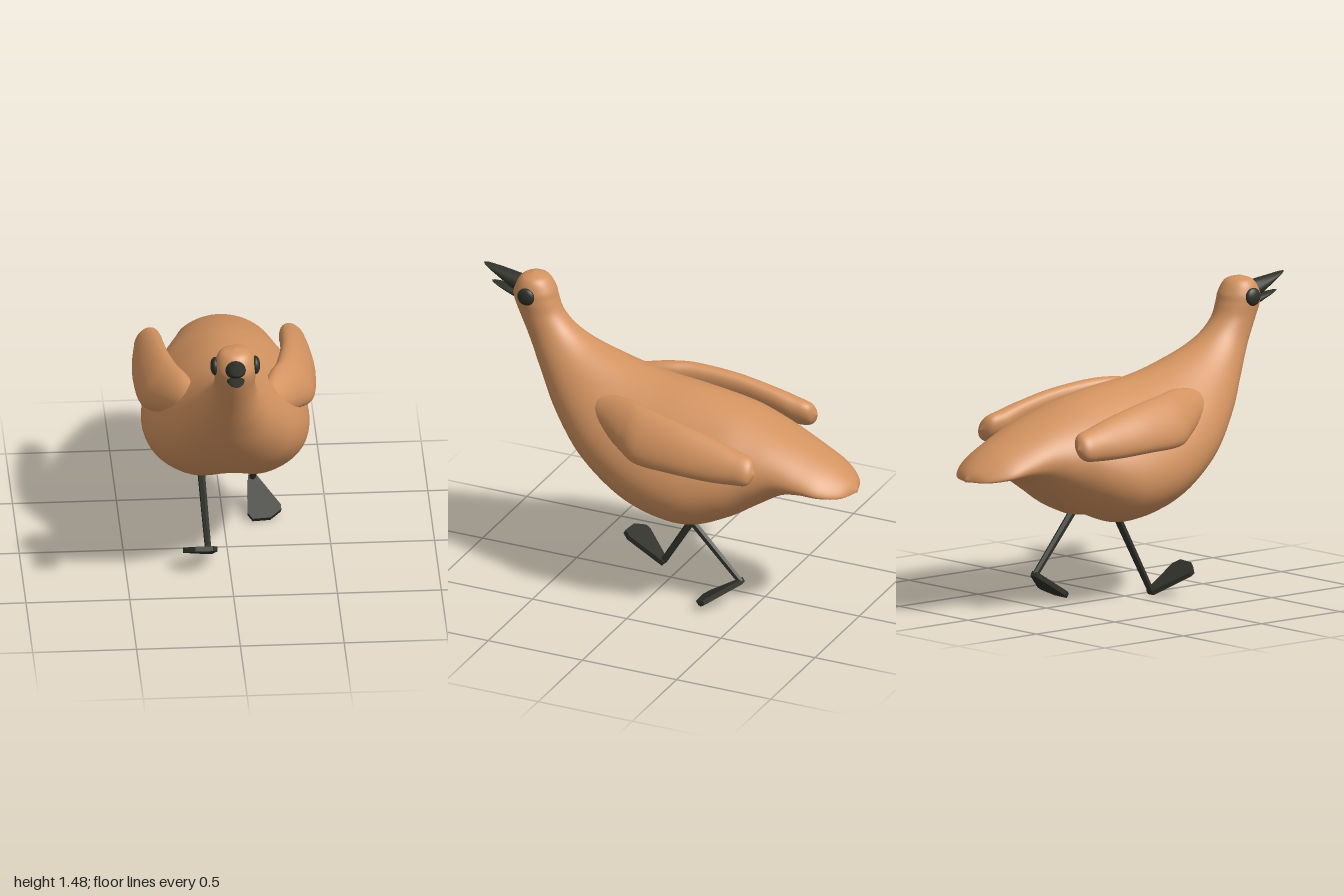
import * as THREE from 'three';

const skin = new THREE.MeshStandardMaterial({ color: 0xd39360, side: THREE.DoubleSide });
const dark = new THREE.MeshStandardMaterial({ color: 0x303129, side: THREE.DoubleSide });
const darkFlat = new THREE.MeshStandardMaterial({ color: 0x303129, flatShading: true });
const V = (x, y, z) => new THREE.Vector3(x, y, z);
const curve = (pts) => new THREE.CatmullRomCurve3(pts.map((p) => V(...p)), false, 'catmullrom', 0.5);
const ramp = THREE.MathUtils.smoothstep;

// Closed smooth skin through rings; point(t, angle) gives the surface
function loft(rows, cols, point) {
  const pos = [], idx = [];
  for (let i = 0; i <= rows; i++) {
    for (let j = 0; j < cols; j++) {
      pos.push(...point(i / rows, (j / cols) * Math.PI * 2));
      if (i === rows) continue;
      const a = i * cols + j, b = i * cols + ((j + 1) % cols);
      idx.push(a, b, a + cols, b, b + cols, a + cols);
    }
  }
  const g = new THREE.BufferGeometry();
  g.setAttribute('position', new THREE.Float32BufferAttribute(pos, 3));
  g.setIndex(idx);
  g.computeVertexNormals();
  return g;
}

// Back line: half width, y, z, from the crown down the neck to the tail
const backLine = curve([
  [0, 1.485, 0.73], [0.07, 1.465, 0.66], [0.098, 1.41, 0.62], [0.102, 1.36, 0.605],
  [0.098, 1.29, 0.575], [0.112, 1.225, 0.51], [0.158, 1.172, 0.42], [0.228, 1.128, 0.3],
  [0.305, 1.09, 0.17], [0.36, 1.065, 0.03], [0.385, 1.05, -0.12], [0.385, 1.03, -0.25],
  [0.35, 1.0, -0.38], [0.29, 0.96, -0.5], [0.243, 0.915, -0.62], [0.217, 0.86, -0.75],
  [0.19, 0.8, -0.87], [0.11, 0.735, -0.96], [0, 0.685, -1],
]);
// Belly line: pear factor (wider low down), y, z
const bellyLine = curve([
  [0, 1.485, 0.73], [0, 1.46, 0.79], [0, 1.4, 0.825], [0, 1.35, 0.825],
  [0, 1.27, 0.795], [0.03, 1.15, 0.74], [0.08, 1.0, 0.67], [0.16, 0.82, 0.57],
  [0.23, 0.635, 0.41], [0.28, 0.495, 0.2], [0.3, 0.42, 0], [0.28, 0.4, -0.2],
  [0.2, 0.46, -0.38], [0.1, 0.54, -0.52], [0, 0.62, -0.65], [0, 0.67, -0.77],
  [0, 0.69, -0.87], [0, 0.68, -0.96], [0, 0.67, -1],
]);

function bodyPoint(t, a) {
  const top = backLine.getPoint(t), low = bellyLine.getPoint(t);
  const c = Math.cos(a), s = Math.sin(a), w = Math.max(top.x, 0);
  const k = (1 - c) / 2;
  const x = w * s * (1 - low.x * c);
  let y = top.y + (low.y - top.y) * k;
  const z = top.z + (low.z - top.z) * k;
  // Crease between the two belly lobes
  const lobes = low.x * ramp(0.5 - z, 0, 0.4);
  if (c < 0) y += lobes * c * c * (0.17 * Math.exp(-((x / 0.1) ** 2)) - 0.06);
  // Drooping edges of the tail
  y -= 0.05 * s * s * ramp(-z, 0.45, 0.95) * (w / 0.2);
  // Head and tail turn slightly to opposite sides
  return [x - 0.007 * ramp(z, 0.4, 0.7) + 0.018 * ramp(-z, 0.3, 0.8), y, z];
}

// Wing centre line, rising out of the flank, and its half chord / half thickness
const wingLine = curve([
  [0.12, 0.94, 0.45], [0.18, 0.94, 0.33], [0.229, 0.93, 0.22], [0.28, 0.917, 0.11],
  [0.328, 0.9, 0], [0.354, 0.885, -0.2], [0.356, 0.862, -0.38], [0.35, 0.845, -0.5],
  [0.352, 0.838, -0.58], [0.358, 0.835, -0.612],
]);
const wingSize = curve([
  [0, 0, 0], [0.06, 0.045, 0], [0.095, 0.062, 0], [0.125, 0.069, 0], [0.138, 0.069, 0],
  [0.124, 0.063, 0], [0.105, 0.06, 0], [0.085, 0.059, 0], [0.065, 0.044, 0], [0, 0, 0],
]);
const wingPoint = (side) => (t, a) => {
  const p = wingLine.getPoint(t), q = wingSize.getPoint(t);
  const u = q.x * Math.cos(a), v = q.y * Math.sin(side * a);
  return [side * (p.x - 0.55 * u + 0.83 * v), p.y + 0.83 * u + 0.55 * v, p.z];
};

// Half of a beak: broad from above, pointed from the side
const beakPoint = (from, to, w, h) => (t, a) => {
  const p = from.clone().lerp(to, t);
  const half = w * Math.sqrt(1 - t ** 1.6);
  return [p.x - half * Math.sin(a), p.y + h * (1 - t) * Math.cos(a), p.z];
};

// Tapered straight leg between two points
function legMesh(from, to) {
  const d = to.clone().sub(from);
  const m = new THREE.Mesh(new THREE.CylinderGeometry(0.016, 0.02, d.length(), 6), darkFlat);
  m.position.copy(from).addScaledVector(d, 0.5);
  m.quaternion.setFromUnitVectors(V(0, 1, 0), d.normalize());
  return m;
}

// Webbed foot: flat outline from heel to toes, splayed outward
function footMesh(side, heel, pitch) {
  const outline = [[-0.02, -0.01], [0.02, -0.01], [0.13, 0.16], [0.13, 0.185],
    [0.075, 0.23], [-0.01, 0.235], [-0.033, 0.2]];
  const shape = new THREE.Shape(outline.map(([u, v]) => new THREE.Vector2(side * u, v)));
  const g = new THREE.ExtrudeGeometry(shape, { depth: 0.024, bevelEnabled: false });
  g.translate(0, 0, -0.012).rotateX(Math.PI / 2);
  const m = new THREE.Mesh(g, darkFlat);
  m.position.copy(heel);
  m.rotation.x = -pitch;
  return m;
}

export function createModel() {
  const model = new THREE.Group();
  const add = (name, mesh) => {
    mesh.name = name;
    model.add(mesh);
    return mesh;
  };

  add('body', new THREE.Mesh(loft(110, 64, bodyPoint), skin));

  for (const side of [1, -1]) {
    const label = side > 0 ? 'left' : 'right';
    add(label + 'Wing', new THREE.Mesh(loft(64, 32, wingPoint(side)), skin));
    const eye = add(label + 'Eye', new THREE.Mesh(new THREE.SphereGeometry(1, 24, 16), dark));
    eye.scale.set(0.022, 0.044, 0.044);
    eye.position.set(side * 0.098 - 0.007, 1.388, 0.727);
  }

  // Beak, slightly open
  const upper = beakPoint(V(-0.01, 1.398, 0.79), V(-0.015, 1.475, 1), 0.05, 0.052);
  const lower = beakPoint(V(-0.01, 1.347, 0.79), V(-0.013, 1.388, 0.955), 0.044, 0.027);
  add('upperBeak', new THREE.Mesh(loft(16, 16, upper), dark));
  add('lowerBeak', new THREE.Mesh(loft(16, 16, lower), dark));

  // Striding legs: right forward, left pushing off behind
  const strides = [
    { side: 1, label: 'left', hip: V(0.168, 0.46, -0.145), heel: V(0.15, 0.135, -0.44), pitch: -0.56 },
    { side: -1, label: 'right', hip: V(-0.125, 0.48, -0.19), heel: V(-0.095, 0.025, 0.085), pitch: 0.55 },
  ];
  for (const { side, label, hip, heel, pitch } of strides) {
    add(label + 'Leg', legMesh(hip, heel));
    add(label + 'Foot', footMesh(side, heel, pitch));
  }
  return model;
}
